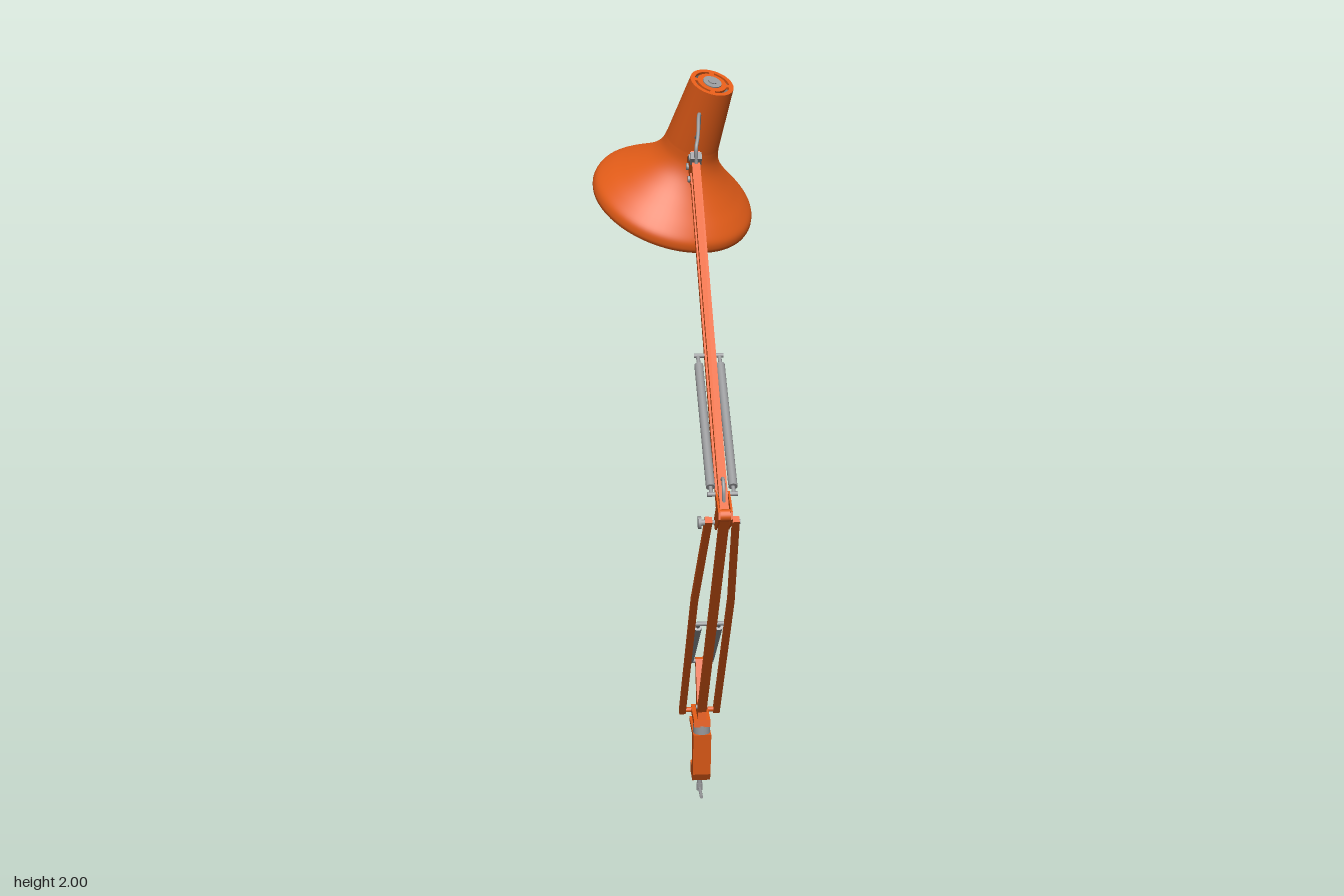
import * as THREE from 'three';

const paint = (name, color) => Object.assign(new THREE.MeshStandardMaterial({ color }), { name });

export function createModel() {
  const orange = paint('orange enamel', 0xe35c18);
  const steel = paint('steel', 0x98999b);
  const inner = paint('pale grey lining', 0xadadac);

  const lamp = new THREE.Group();
  lamp.name = 'deskLamp';
  // Everything but the shade is centred on the arm's own plane
  const arm = new THREE.Group();
  arm.name = 'armAndBase';
  arm.position.x = 0.037;
  lamp.add(arm);

  const UP = new THREE.Vector3(0, 1, 0);
  const V = (x, y, z) => new THREE.Vector3(x, y, z);
  const add = (name, geo, mat, parent = arm) => {
    const m = new THREE.Mesh(geo, mat);
    m.name = name;
    parent.add(m);
    return m;
  };
  const between = (mesh, a, b) => {
    mesh.position.copy(a).add(b).multiplyScalar(0.5);
    mesh.quaternion.setFromUnitVectors(UP, b.clone().sub(a).normalize());
    return mesh;
  };
  const bar = (name, a, b, w, d, mat = orange) =>
    between(add(name, new THREE.BoxGeometry(w, a.distanceTo(b), d), mat), a, b);
  const rod = (name, a, b, r, mat = steel) =>
    between(add(name, new THREE.CylinderGeometry(r, r, a.distanceTo(b), 16), mat), a, b);
  // Sideways pin through the arm at (z, y)
  const pin = (name, z, y, half, r = 0.006, mat = steel) =>
    rod(name, V(-half, y, z), V(half, y, z), r, mat);
  // Plate with an outline of [z, y] points, w thick, centred on x
  const plate = (name, pts, w, x = 0) => {
    const shape = new THREE.Shape(pts.map(([z, y]) => new THREE.Vector2(-z, y)));
    const geo = new THREE.ExtrudeGeometry(shape, { depth: w, bevelEnabled: false });
    geo.rotateY(Math.PI / 2).translate(x - w / 2, 0, 0);
    return add(name, geo, orange);
  };
  const wire = (name, pts, r) => add(name,
    new THREE.TubeGeometry(new THREE.CatmullRomCurve3(pts), 40, r, 8), steel);

  // Table clamp
  plate('clampBody', [[0.072, 0.215], [-0.065, 0.213], [-0.065, 0.203], [0.025, 0.2], [0.02, 0.11],
    [0.005, 0.093], [-0.03, 0.093], [-0.032, 0.062], [0.035, 0.06], [0.052, 0.085]], 0.05);
  rod('clampScrew', V(0, 0.004, -0.018), V(0, 0.15, -0.018), 0.007);
  rod('clampPad', V(0, 0.146, -0.018), V(0, 0.154, -0.018), 0.018);
  rod('clampCollar', V(0, 0.005, -0.018), V(0, 0.026, -0.018), 0.009);
  rod('clampHandle', V(0, 0.012, 0.046), V(0, 0.012, -0.052), 0.0045);
  rod('swivelCollar', V(0, 0.212, 0.047), V(0, 0.24, 0.047), 0.024);

  // Base bracket: a single upright post on a wider foot
  plate('baseBracketPost', [[0.066, 0.25], [0.06, 0.295], [0.038, 0.305], [-0.01, 0.41], [-0.026, 0.41],
    [-0.026, 0.395], [0.008, 0.3], [0.01, 0.25]], 0.024);
  plate('baseBracketFoot', [[0.07, 0.238], [0.067, 0.258], [-0.036, 0.262], [-0.036, 0.243]], 0.046);
  pin('lowerAxle', -0.022, 0.252, 0.054, 0.007, orange);
  pin('frontBarAxle', 0.046, 0.29, 0.016);

  // Lower arm: central front bar and a bowed pair behind it
  bar('lowerFrontBar', V(0, 0.282, 0.052), V(0, 1.075, 0.664), 0.024, 0.018);
  const rearFoot = V(0, 0.252, -0.022), rearTop = V(0, 1.033, 0.594);
  for (const s of [-1, 1]) {
    const at = (t, x) => rearFoot.clone().lerp(rearTop, t).setX(s * x);
    bar('lowerRearBar', at(-0.01, 0.048), at(0.62, 0.048), 0.018, 0.018);
    bar('lowerRearBarTaper', at(0.615, 0.048), at(1.012, 0.034), 0.018, 0.018);
  }

  // Elbow plates, pins, knob and cable loop
  for (const s of [-1, 1]) {
    plate('elbowPlate', [[0.688, 1.072], [0.682, 1.09], [0.655, 1.102], [0.605, 1.118], [0.596, 1.108],
      [0.62, 1.08], [0.574, 1.036], [0.578, 1.02], [0.598, 1.014], [0.665, 1.052]], 0.005, s * 0.0155);
  }
  pin('elbowFrontPin', 0.668, 1.077, 0.018, 0.015, orange);
  pin('elbowRearPin', 0.594, 1.033, 0.046);
  rod('elbowKnobHub', V(-0.04, 1.033, 0.594), V(-0.054, 1.033, 0.594), 0.008);
  rod('elbowKnob', V(-0.052, 1.033, 0.594), V(-0.06, 1.033, 0.594), 0.016);
  wire('elbowCableLoop', [V(0, 1.09, 0.64), V(0, 1.13, 0.636), V(0, 1.152, 0.618),
    V(0, 1.145, 0.595), V(0, 1.105, 0.585)], 0.0045);

  // Upper arm
  bar('upperFrontBar', V(0, 1.08, 0.653), V(0, 1.795, -0.178), 0.022, 0.02);
  bar('upperRearBar', V(0, 1.028, 0.592), V(0, 1.735, -0.2), 0.022, 0.02);

  // Tension springs: a close-wound coil with thin ends
  const springEnds = [
    [V(0, 0.402, -0.019), V(0, 0.625, 0.258), 0.038, 0.042],
    [V(0, 1.11, 0.604), V(0, 1.358, 0.225), 0.038, 0.038],
  ];
  for (const [a, b, halfA, halfB] of springEnds) {
    pin('springPin', a.z, a.y, halfA);
    pin('springPin', b.z, b.y, halfB);
    for (const x of [-0.028, 0.028]) {
      const p = a.clone().setX(x), q = b.clone().setX(x);
      rod('springEnds', p, q, 0.005);
      rod('springCoil', p.clone().lerp(q, 0.05), p.clone().lerp(q, 0.93), 0.0115);
    }
  }

  // Head bracket joining the arm to the shade
  plate('headBracket', [[-0.16, 1.8], [-0.172, 1.814], [-0.2, 1.8], [-0.255, 1.77], [-0.262, 1.752],
    [-0.245, 1.742], [-0.205, 1.715], [-0.188, 1.722], [-0.195, 1.75]], 0.024);
  pin('headPin', -0.178, 1.795, 0.018, 0.01);
  pin('headPin', -0.2, 1.732, 0.018, 0.009);
  pin('headPivot', -0.25, 1.756, 0.018, 0.01);
  bar('shadeStem', V(0, 1.756, -0.24), V(0, 1.765, -0.345), 0.018, 0.02);
  bar('cableClip', V(0, 1.788, -0.152), V(0, 1.804, -0.17), 0.03, 0.026, steel);
  wire('headCable', [V(0, 1.785, -0.148), V(0, 1.828, -0.148), V(0.006, 1.852, -0.168),
    V(0.013, 1.898, -0.222), V(0.017, 1.9, -0.243), V(0.018, 1.877, -0.262), V(0.016, 1.835, -0.285),
    V(0.013, 1.822, -0.315)], 0.005);

  // Tilted shade: local y runs from the rim centre up to the cap
  const shade = new THREE.Group();
  shade.name = 'shade';
  shade.position.set(-0.004, 1.609, -0.475);
  shade.quaternion.setFromUnitVectors(UP, V(0.243, 0.89, 0.385).normalize());
  lamp.add(shade);
  const lathe = (name, pts, mat) => add(name,
    new THREE.LatheGeometry(pts.map(([r, y]) => new THREE.Vector2(r, y)), 64), mat, shade);
  const flare = new THREE.SplineCurve([[0.229, 0], [0.231, 0.012], [0.224, 0.032], [0.2, 0.056], [0.163, 0.087],
    [0.125, 0.122], [0.097, 0.155], [0.081, 0.187], [0.075, 0.22]].map(p => new THREE.Vector2(...p)))
    .getPoints(40).map(p => [p.x, p.y]);
  lathe('shadeShell', [...flare, [0.061, 0.408]], orange);
  lathe('shadeLining', [[0.057, 0.4], [0.069, 0.24], [0.073, 0.19], [0.088, 0.155], [0.118, 0.119],
    [0.155, 0.084], [0.192, 0.053], [0.216, 0.03], [0.225, 0.01], [0.226, 0]], inner);
  lathe('shadeRim', [[0.226, 0], [0.229, 0]], orange);
  add('bulb', new THREE.SphereGeometry(0.067, 32, 20), inner, shade).position.y = 0.135;
  const cylinder = (name, r, y, h, mat) => {
    add(name, new THREE.CylinderGeometry(r, r, h, 32), mat, shade).position.y = y;
  };
  cylinder('bulbHolder', 0.03, 0.29, 0.21, steel);

  // Cap: a disc with four arc slots cut right through, and a hub
  const cap = new THREE.Shape().absarc(0, 0, 0.061, 0, Math.PI * 2);
  for (let i = 0; i < 4; i++) {
    const from = i * Math.PI / 2 + 0.15, to = from + 1.27;
    cap.holes.push(new THREE.Path().absarc(0, 0, 0.049, from, to).absarc(0, 0, 0.041, to, from, true));
  }
  const capGeo = new THREE.ExtrudeGeometry(cap, { depth: 0.007, bevelEnabled: false, curveSegments: 32 });
  add('ventedCap', capGeo.rotateX(-Math.PI / 2).translate(0, 0.401, 0), orange, shade);
  cylinder('capHub', 0.026, 0.408, 0.006, steel);
  cylinder('capHubCentre', 0.012, 0.41, 0.008, steel);
  return lamp;
}
